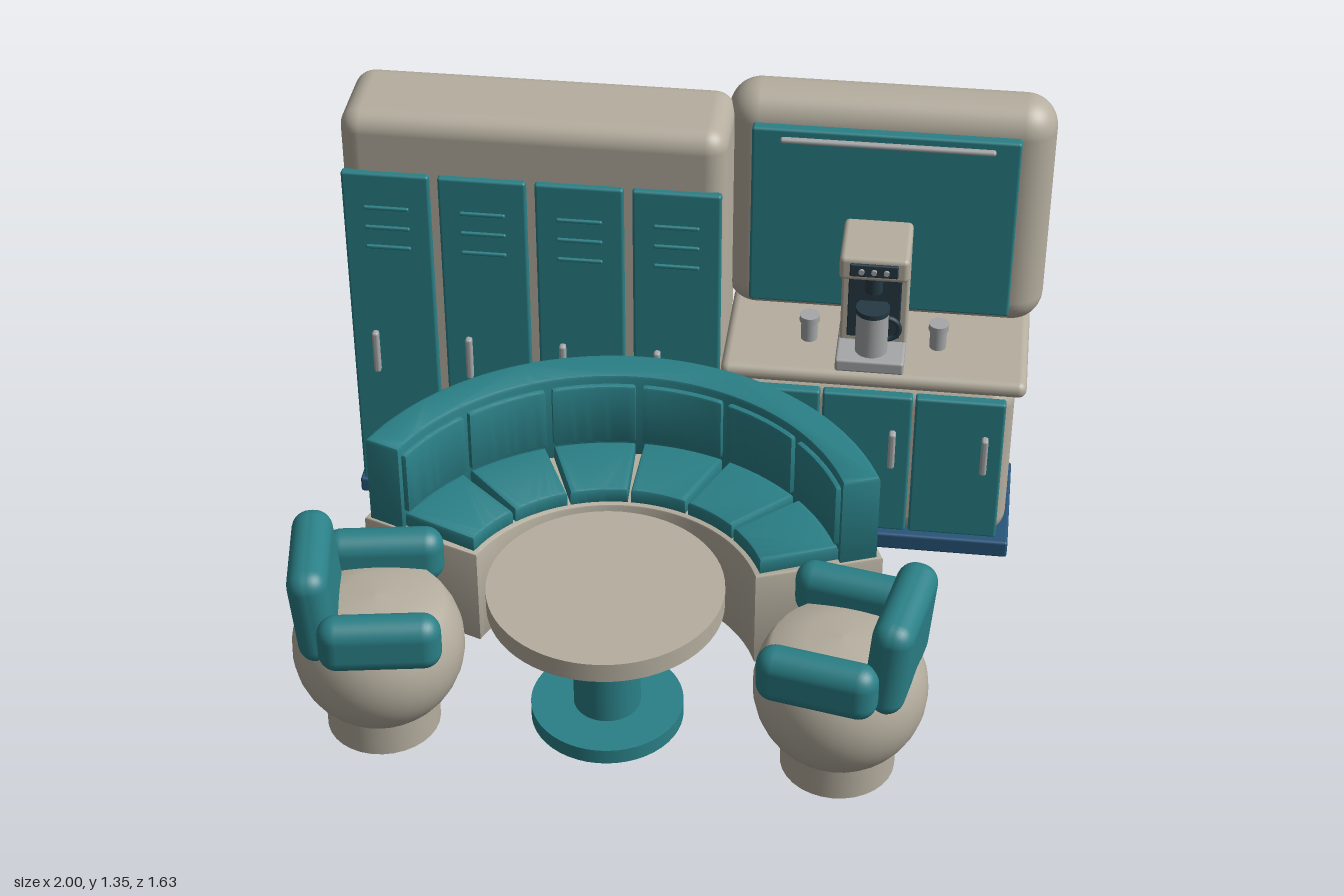
import * as THREE from 'three';
import { RoundedBoxGeometry } from 'three/addons/geometries/RoundedBoxGeometry.js';
import { toCreasedNormals } from 'three/addons/utils/BufferGeometryUtils.js';

const mat = (color) => new THREE.MeshStandardMaterial({ color });
const beige = mat(0xb5ae9f), teal = mat(0x2a8087), blue = mat(0x28557a);
const dark = mat(0x263a44), metal = mat(0xa5a7a8);

function add(parent, name, geometry, material, x = 0, y = 0, z = 0) {
  const mesh = new THREE.Mesh(geometry, material);
  mesh.name = name;
  mesh.position.set(x, y, z);
  parent.add(mesh);
  return mesh;
}

// Rounded box given by its extents on each axis
function block(parent, name, material, [x0, x1], [y0, y1], [z0, z1], r = 0.008, seg = 3) {
  const w = x1 - x0, h = y1 - y0, d = z1 - z0;
  const geo = new RoundedBoxGeometry(w, h, d, seg, Math.min(r, w * 0.49, h * 0.49, d * 0.49));
  return add(parent, name, geo, material, (x0 + x1) / 2, (y0 + y1) / 2, (z0 + z1) / 2);
}

// Upright cylinder standing between two heights
function post(parent, name, material, r, y0, y1, x, z, seg = 48) {
  return add(parent, name, new THREE.CylinderGeometry(r, r, y1 - y0, seg), material, x, (y0 + y1) / 2, z);
}

// Upright ring sector; 90 degrees points to the back
function arcSlab(parent, name, material, [r0, r1], [y0, y1], [a0, a1], bevel = 0.006) {
  const rad = Math.PI / 180, b = bevel, mid = (r0 + r1) / 2;
  const s = a0 * rad + b / mid, e = a1 * rad - b / mid;
  const shape = new THREE.Shape();
  shape.absarc(0, 0, r1 - b, s, e, false);
  shape.absarc(0, 0, r0 + b, e, s, true);
  const geo = new THREE.ExtrudeGeometry(shape, {
    depth: y1 - y0 - 2 * b, curveSegments: Math.max(8, Math.round((a1 - a0) / 3)),
    bevelSize: b, bevelThickness: b, bevelSegments: 2,
  });
  geo.rotateX(-Math.PI / 2);
  return add(parent, name, toCreasedNormals(geo, 0.6), material, 0, y0 + b, 0);
}

function group(parent, name, x = 0, z = 0) {
  const g = new THREE.Group();
  g.name = name;
  g.position.set(x, 0, z);
  parent.add(g);
  return g;
}

function makeLockers(root) {
  const g = group(root, 'lockers');
  block(g, 'lockerPlinth', blue, [-1, 0.11], [0, 0.05], [-0.75, -0.43]);
  block(g, 'lockerBody', beige, [-0.99, 0.1], [0.045, 1.315], [-0.745, -0.44], 0.06, 5);
  for (let i = 0; i < 4; i++) {
    const x = -0.985 + i * 0.275;
    block(g, 'lockerDoor', teal, [x, x + 0.25], [0.06, 1.14], [-0.45, -0.422]);
    for (const y of [0.9, 0.965, 1.03])
      block(g, 'ventSlot', teal, [x + 0.06, x + 0.19], [y - 0.006, y + 0.006], [-0.43, -0.415], 0.005);
    block(g, 'lockerHandle', metal, [x + 0.06, x + 0.08], [0.47, 0.61], [-0.425, -0.4]);
  }
}

function makeKitchen(root) {
  const g = group(root, 'kitchenette');
  block(g, 'cabinetPlinth', blue, [0.11, 0.955], [0, 0.055], [-0.75, -0.35]);
  block(g, 'cabinetBody', beige, [0.115, 0.94], [0.05, 0.59], [-0.745, -0.36], 0.07, 5);
  block(g, 'countertop', beige, [0.1, 0.97], [0.58, 0.63], [-0.76, -0.34], 0.024, 4);
  for (let i = 0; i < 3; i++) {
    const x = 0.13 + i * 0.265;
    block(g, 'cabinetDoor', teal, [x, x + 0.257], [0.08, 0.56], [-0.375, -0.34]);
    block(g, 'cabinetHandle', metal, [x + 0.195, x + 0.215], [0.32, 0.445], [-0.345, -0.315]);
  }
  // Backsplash with its light strip
  block(g, 'wallPanel', beige, [0.08, 1], [0.625, 1.345], [-0.815, -0.625], 0.09, 6);
  block(g, 'backsplash', teal, [0.155, 0.905], [0.69, 1.265], [-0.64, -0.595]);
  block(g, 'lightStrip', metal, [0.235, 0.835], [1.227, 1.243], [-0.6, -0.58]);
  // Cups
  for (const x of [0.34, 0.71]) {
    post(g, 'cup', metal, 0.024, 0.63, 0.705, x, -0.51, 24);
    post(g, 'cupRim', metal, 0.029, 0.69, 0.71, x, -0.51, 24);
  }
}

function makeCoffeeMachine(root) {
  const g = group(root, 'coffeeMachine');
  block(g, 'dripTray', metal, [0.425, 0.62], [0.63, 0.67], [-0.56, -0.35]);
  block(g, 'machineColumn', beige, [0.43, 0.62], [0.66, 0.93], [-0.59, -0.46]);
  block(g, 'brewRecess', dark, [0.45, 0.6], [0.69, 0.89], [-0.47, -0.445], 0.004);
  block(g, 'machineHead', beige, [0.425, 0.62], [0.92, 0.995], [-0.595, -0.38], 0.015);
  block(g, 'controlPanel', dark, [0.455, 0.59], [0.94, 0.98], [-0.39, -0.372], 0.004);
  for (let i = -1; i <= 1; i++) {
    const knob = add(g, 'button', new THREE.CylinderGeometry(0.008, 0.008, 0.012, 16), metal, 0.523 + i * 0.035, 0.96, -0.37);
    knob.rotation.x = Math.PI / 2;
  }
  post(g, 'spout', dark, 0.025, 0.87, 0.925, 0.523, -0.415, 20);
  post(g, 'pot', metal, 0.046, 0.67, 0.8, 0.523, -0.415, 32);
  post(g, 'potLid', dark, 0.048, 0.8, 0.815, 0.523, -0.415, 32);
  const handle = add(g, 'potHandle', new THREE.TorusGeometry(0.035, 0.008, 8, 20, Math.PI), dark, 0.565, 0.745, -0.415);
  handle.rotation.z = -Math.PI / 2;
}

function makeSofa(root) {
  const g = group(root, 'curvedSofa', -0.118, 0.412);
  arcSlab(g, 'sofaBase', beige, [0.41, 0.772], [0.06, 0.368], [20, 160]);
  arcSlab(g, 'backrest', teal, [0.65, 0.755], [0.36, 0.643], [20.6, 159.4], 0.01);
  const step = 138 / 6;
  for (let i = 0; i < 6; i++) {
    const a = 21 + i * step, span = [a + 0.9, a + step - 0.9];
    arcSlab(g, 'seatCushion', teal, [0.425, 0.65], [0.355, 0.412], span, 0.01);
    arcSlab(g, 'backPad', teal, [0.635, 0.66], [0.42, 0.615], span, 0.008);
  }
}

function makeTable(root) {
  const g = group(root, 'roundTable', -0.118, 0.455);
  post(g, 'tableTop', beige, 0.32, 0.392, 0.45, 0, 0, 64);
  post(g, 'tableLeg', teal, 0.092, 0.04, 0.395, 0, 0);
  post(g, 'tableFoot', teal, 0.21, 0, 0.046, 0, 0);
}

function makeChair(root, name, x, z, yaw) {
  const g = group(root, name, x, z);
  g.rotation.y = yaw;
  post(g, 'chairFoot', beige, 0.155, 0, 0.095, 0, 0, 32);
  // Ball-shaped shell closed by a shallow domed seat
  const profile = [new THREE.Vector2(0, 0.04)];
  for (let i = 0; i <= 14; i++) {
    const t = -1.25 + (i / 14) * 1.9;
    profile.push(new THREE.Vector2(0.233 * Math.cos(t), 0.268 + 0.233 * Math.sin(t)));
  }
  profile.push(new THREE.Vector2(0.1, 0.428), new THREE.Vector2(0, 0.435));
  add(g, 'chairShell', new THREE.LatheGeometry(profile, 32), beige);
  // Back and arm cushions; the chair opens towards local +x
  const back = block(g, 'chairBack', teal, [-0.21, -0.1], [0.325, 0.622], [-0.168, 0.168], 0.05, 4);
  back.rotation.z = 0.08;
  for (const s of [-1, 1])
    block(g, 'chairArm', teal, [-0.145, 0.18], [0.345, 0.505], s < 0 ? [-0.232, -0.13] : [0.13, 0.232], 0.05, 4);
}

export function createModel() {
  const root = new THREE.Group();
  root.name = 'loungeSet';
  makeLockers(root);
  makeKitchen(root);
  makeCoffeeMachine(root);
  makeSofa(root);
  makeTable(root);
  makeChair(root, 'leftOfViewChair', -0.725, 0.55, 0.17);
  makeChair(root, 'rightOfViewChair', 0.525, 0.567, Math.PI - 0.2);
  return root;
}
